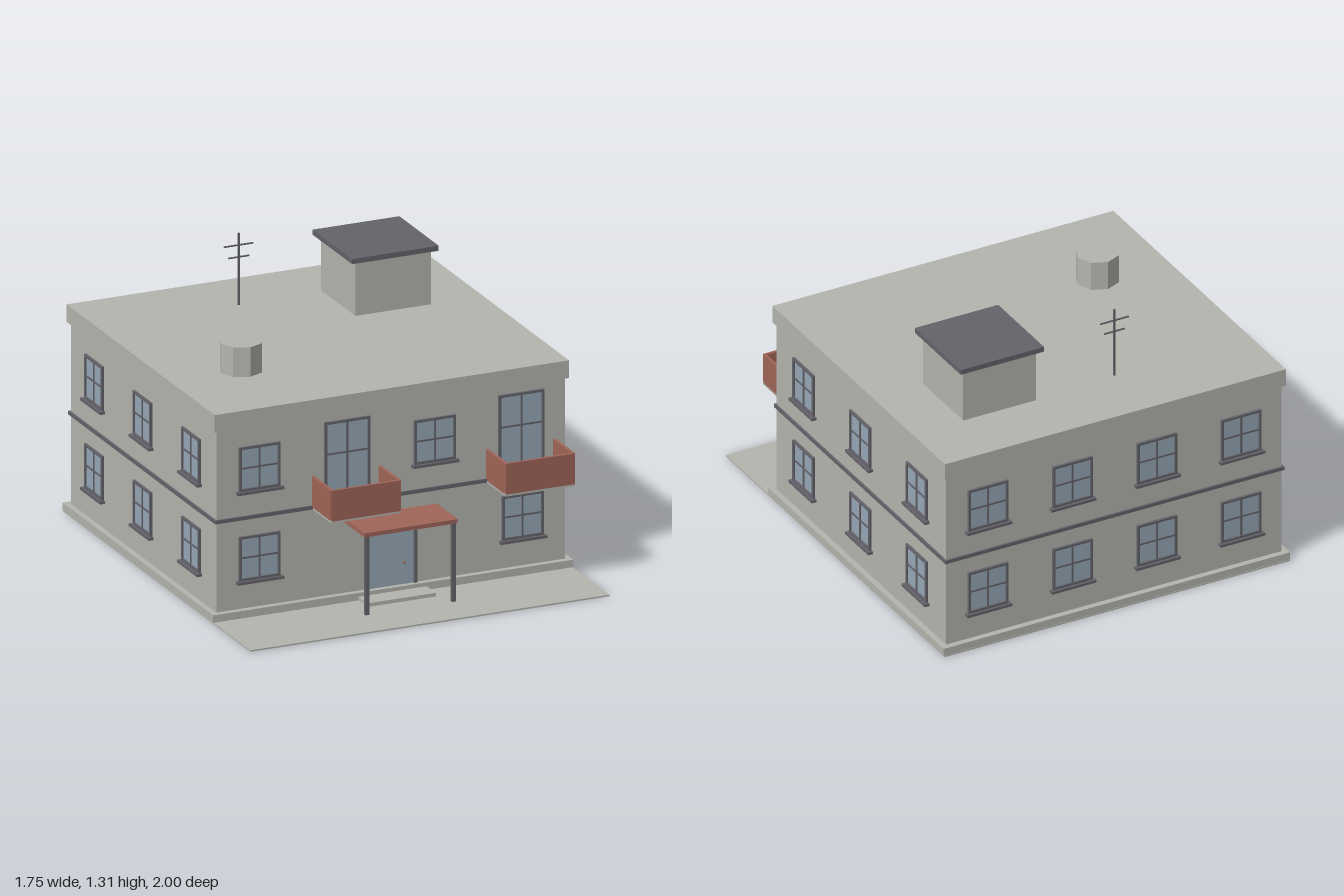
import * as THREE from 'three';

const mat = (name, color) => Object.assign(new THREE.MeshStandardMaterial({ color }), { name });

export function createModel() {
  const wall = mat('concrete', 0xb4b4ae);
  const trim = mat('dark trim', 0x64636a);
  const glass = mat('window glass', 0x95a7b5);
  const red = mat('brick red', 0x9f6558);

  const model = new THREE.Group();
  model.name = 'building';

  // Box given by its limits on each axis
  function box(parent, name, material, x0, x1, y0, y1, z0, z1) {
    const mesh = new THREE.Mesh(new THREE.BoxGeometry(x1 - x0, y1 - y0, z1 - z0), material);
    mesh.position.set((x0 + x1) / 2, (y0 + y1) / 2, (z0 + z1) / 2);
    mesh.name = name;
    parent.add(mesh);
    return mesh;
  }

  // Main body, centred at z = CZ
  const CZ = -0.195, HX = 0.845, HZ = 0.775;
  const tier = (name, material, grow, y0, y1) =>
    box(model, name, material, -HX - grow, HX + grow, y0, y1, CZ - HZ - grow, CZ + HZ + grow);
  box(model, 'groundSlab', wall, -0.87, 0.87, 0, 0.007, -1, 1);
  tier('plinth', wall, 0.028, 0.007, 0.042);
  tier('walls', wall, 0, 0.042, 0.892);
  tier('floorBand', trim, 0.009, 0.459, 0.476);
  tier('roofParapet', wall, 0.014, 0.892, 0.975);

  // Framed opening in the local xy plane, facing +z
  function opening(name, w, y0, y1, { bar = 0.011, midY = null, sill = false } = {}) {
    const g = new THREE.Group();
    g.name = name;
    const h = w / 2, d = 0.012;
    box(g, 'glass', glass, -h + bar / 2, h - bar / 2, y0, y1 - bar / 2, -0.004, 0.004);
    for (const s of [-1, 1]) {
      const x = s * (h - bar / 2);
      box(g, 'frameSide', trim, x - bar / 2, x + bar / 2, y0, y1, -0.004, d);
    }
    box(g, 'frameTop', trim, -h + bar, h - bar, y1 - bar, y1, -0.004, d);
    if (midY !== null) {
      box(g, 'mullion', trim, -0.004, 0.004, y0, y1 - bar, 0, 0.009);
      box(g, 'transom', trim, -h + bar, h - bar, midY - 0.004, midY + 0.004, 0, 0.0085);
    }
    if (sill) {
      box(g, 'frameBottom', trim, -h + bar, h - bar, y0, y0 + bar, -0.004, d);
      box(g, 'sill', trim, -h - 0.012, h + 0.012, y0 - 0.013, y0, -0.004, 0.024);
    }
    model.add(g);
    return g;
  }

  const columns = [-0.638, -0.213, 0.212, 0.637];
  const floors = [0.174, 0.594];
  const front = CZ + HZ, back = CZ - HZ;
  const windowAt = (w, y) =>
    opening('window', w, y, y + 0.207, { midY: y + 0.107, sill: true });

  // Back windows
  for (const y of floors) {
    for (const x of columns) {
      const g = windowAt(0.2, y);
      g.position.set(x, 0, back);
      g.rotation.y = Math.PI;
    }
    // Side windows
    for (const s of [-1, 1]) {
      for (const k of [-1, 0, 1]) {
        const g = windowAt(0.188, y);
        g.position.set(s * HX, 0, CZ + k * 0.517);
        g.rotation.y = s * Math.PI / 2;
      }
    }
  }

  // Front windows
  for (const [x, y] of [[columns[0], floors[0]], [columns[3], floors[0]],
    [columns[0], floors[1]], [columns[2], floors[1]]]) {
    windowAt(0.2, y).position.set(x, 0, front);
  }

  // Balconies with their doors
  for (const x of [columns[1], columns[3] - 0.006]) {
    opening('balconyDoor', 0.22, 0.474, 0.857, { midY: 0.705 }).position.set(x, 0, front);
    const g = new THREE.Group();
    g.name = 'balcony';
    g.position.x = x;
    const h = 0.168, t = 0.012, z1 = 0.788;
    box(g, 'balconyFloor', wall, -h, h, 0.458, 0.472, front, z1);
    box(g, 'frontPanel', red, -h, h, 0.468, 0.612, z1 - t, z1 + 0.002);
    for (const s of [-1, 1]) {
      const px = s * (h - t / 2);
      box(g, 'sidePanel', red, px - t / 2 - 0.001, px + t / 2 + 0.001, 0.468, 0.612, front, z1 - t);
    }
    box(g, 'balconyBox', wall, 0.063, 0.133, 0.472, 0.53, 0.617, 0.67);
    model.add(g);
  }

  // Entrance
  opening('entranceDoor', 0.252, 0.042, 0.353, { bar: 0.014 }).position.set(-0.002, 0, front);
  const knob = new THREE.Mesh(new THREE.SphereGeometry(0.007, 8, 6), red);
  knob.name = 'doorKnob';
  knob.position.set(0.064, 0.143, front + 0.009);
  model.add(knob);
  box(model, 'doorStep', wall, -0.168, 0.163, 0.007, 0.024, front, 0.703);
  box(model, 'canopy', red, -0.228, 0.224, 0.375, 0.394, front, 0.803);
  for (const x of [-0.212, 0.208]) {
    box(model, 'canopyPost', trim, x - 0.009, x + 0.009, 0.007, 0.375, 0.782, 0.799);
  }

  // Roof hut
  box(model, 'roofHut', wall, 0.238, 0.604, 0.975, 1.23, -0.688, -0.32);
  box(model, 'roofHutCap', trim, 0.211, 0.631, 1.23, 1.254, -0.715, -0.295);

  // Water tank
  const tank = new THREE.Mesh(new THREE.CylinderGeometry(0.099, 0.099, 0.138, 8).toNonIndexed(), wall);
  tank.geometry.computeVertexNormals();
  tank.name = 'waterTank';
  tank.position.set(-0.51, 1.044, 0.107);
  model.add(tank);

  // Aerial
  const ax = -0.171, az = -0.664;
  box(model, 'aerialMast', trim, ax - 0.004, ax + 0.004, 0.975, 1.312, az - 0.004, az + 0.004);
  for (const [y, h] of [[1.256, 0.071], [1.2, 0.051]]) {
    box(model, 'aerialBar', trim, ax - h, ax + h, y - 0.003, y + 0.003, az - 0.003, az + 0.003);
  }

  return model;
}
